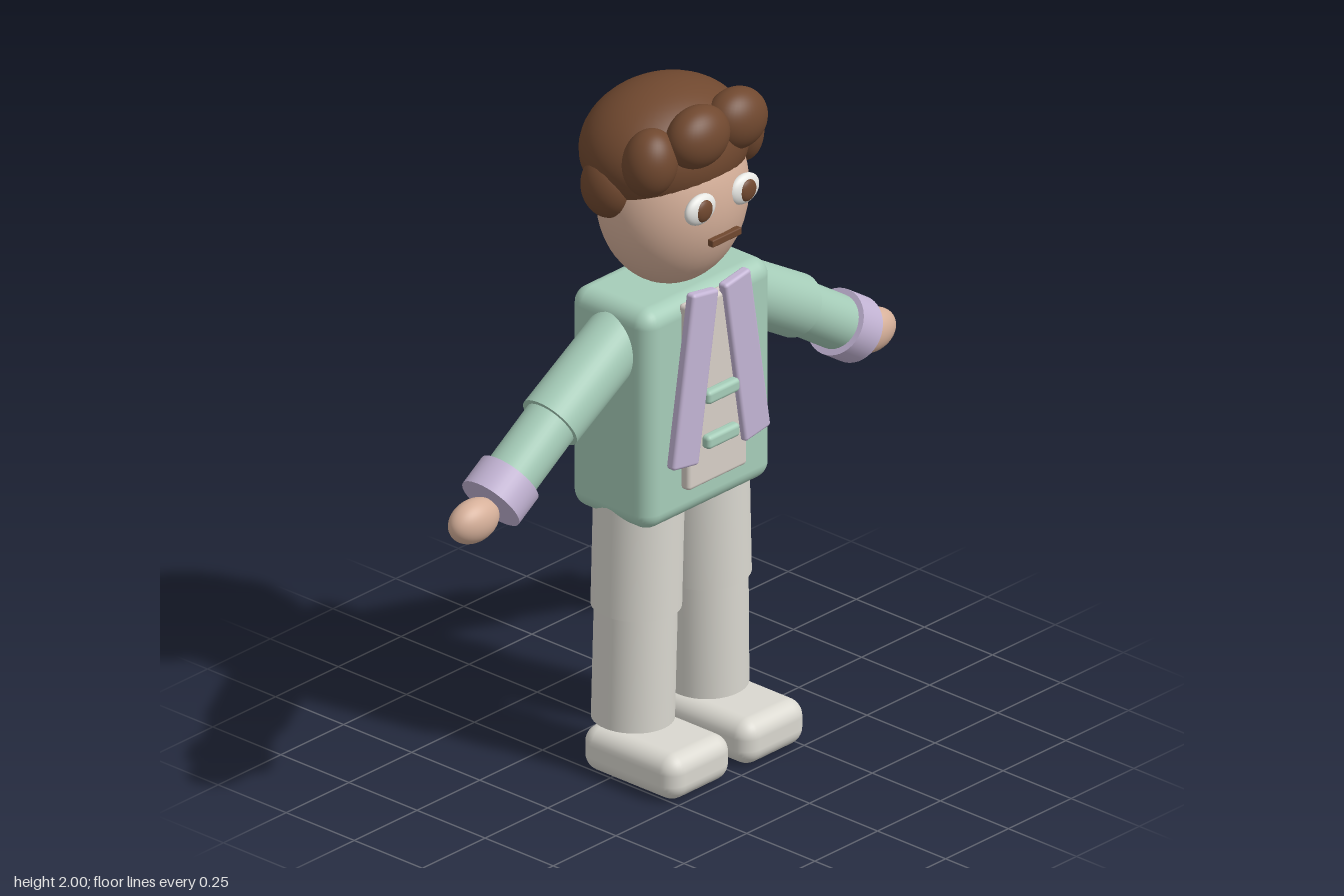
import * as THREE from 'three';
import { RoundedBoxGeometry } from 'three/addons/geometries/RoundedBoxGeometry.js';

function material(name, color) {
  const m = new THREE.MeshStandardMaterial({ color });
  m.name = name;
  return m;
}

export function createModel() {
  const skin = material('skin', 0xd6b09a);
  const brown = material('brown', 0x70482f);
  const mint = material('mint', 0xa6cdb9);
  const lilac = material('lilac', 0xc3b4d4);
  const cream = material('cream', 0xdad8d0);
  const beige = material('beige', 0xd8d0c8);
  const white = material('eye white', 0xeeeeea);

  const root = new THREE.Group();
  root.name = 'figure';

  const add = (name, geometry, mat, pos = [0, 0, 0]) => {
    const mesh = new THREE.Mesh(geometry, mat);
    mesh.name = name;
    mesh.position.set(...pos);
    root.add(mesh);
    return mesh;
  };
  const ball = (name, mat, pos, radii) => {
    const mesh = add(name, new THREE.SphereGeometry(1, 40, 28), mat, pos);
    mesh.scale.set(...radii);
    return mesh;
  };
  const box = (name, mat, pos, size, r) =>
    add(name, new RoundedBoxGeometry(...size, 4, r), mat, pos);
  // Capped cylinder between two points
  const limb = (name, mat, from, to, r) => {
    const a = new THREE.Vector3(...from), b = new THREE.Vector3(...to);
    const dir = b.clone().sub(a);
    const mesh = add(name, new THREE.CylinderGeometry(r, r, dir.length(), 40), mat);
    mesh.position.copy(a).add(b).multiplyScalar(0.5);
    mesh.quaternion.setFromUnitVectors(new THREE.Vector3(0, 1, 0), dir.normalize());
    return mesh;
  };

  // Head and hair
  ball('head', skin, [0, 1.68, -0.003], [0.225, 0.26, 0.193]);
  ball('hairCap', brown, [0, 1.82, -0.033], [0.255, 0.18, 0.211]);
  const curls = [
    // x, y, z, radii, roll
    [-0.055, 1.91, 0.14, 0.104, 0.088, 0.072, 0],
    [0.115, 1.9, 0.125, 0.1, 0.088, 0.072, -0.2],
    [-0.185, 1.86, 0.085, 0.078, 0.096, 0.075, -0.2],
    [0.2, 1.83, 0.06, 0.063, 0.112, 0.068, 0.15],
    [-0.205, 1.755, -0.05, 0.07, 0.092, 0.08, 0],
    [0.193, 1.73, -0.065, 0.07, 0.078, 0.083, 0],
  ];
  for (const [x, y, z, rx, ry, rz, roll] of curls)
    ball('hairCurl', brown, [x, y, z], [rx, ry, rz]).rotation.z = roll;

  // Face
  for (const s of [-1, 1]) {
    ball('eye', white, [s * 0.087, 1.715, 0.178], [0.057, 0.044, 0.023]);
    ball('pupil', brown, [s * 0.087, 1.715, 0.192], [0.032, 0.032, 0.014]);
  }
  box('mouth', brown, [0, 1.605, 0.189], [0.116, 0.022, 0.02], 0.004);

  // Jacket, shirt panel, lapels and fasteners
  box('jacketBody', mint, [0, 1.105, -0.008], [0.51, 0.66, 0.295], 0.05);
  box('shirtPanel', beige, [0, 1.147, 0.145], [0.236, 0.555, 0.04], 0.012);
  for (const s of [-1, 1])
    box('lapel', lilac, [s * 0.103, 1.207, 0.166], [0.104, 0.508, 0.032], 0.01)
      .rotation.z = s * 0.16;
  for (const y of [1.137, 1.002])
    box('fastener', mint, [0, y, 0.174], [0.128, 0.04, 0.032], 0.012);

  for (const s of [-1, 1]) {
    // Arms
    limb('upperArm', mint, [s * 0.19, 1.335, -0.003], [s * 0.488, 1.158, -0.003], 0.09);
    limb('forearm', mint, [s * 0.46, 1.175, -0.003], [s * 0.69, 1.023, -0.003], 0.077);
    limb('cuff', lilac, [s * 0.648, 1.05, -0.003], [s * 0.724, 1.0, -0.003], 0.094);
    ball('hand', skin, [s * 0.79, 0.972, -0.005], [0.086, 0.062, 0.052]);
    // Legs and shoes
    limb('thigh', cream, [s * 0.129, 0.825, -0.007], [s * 0.139, 0.487, -0.008], 0.124);
    limb('shin', cream, [s * 0.14, 0.51, -0.008], [s * 0.148, 0.15, -0.012], 0.114);
    box('shoe', cream, [s * 0.148, 0.07, 0.075], [0.25, 0.134, 0.35], 0.05);
  }

  return root;
}
